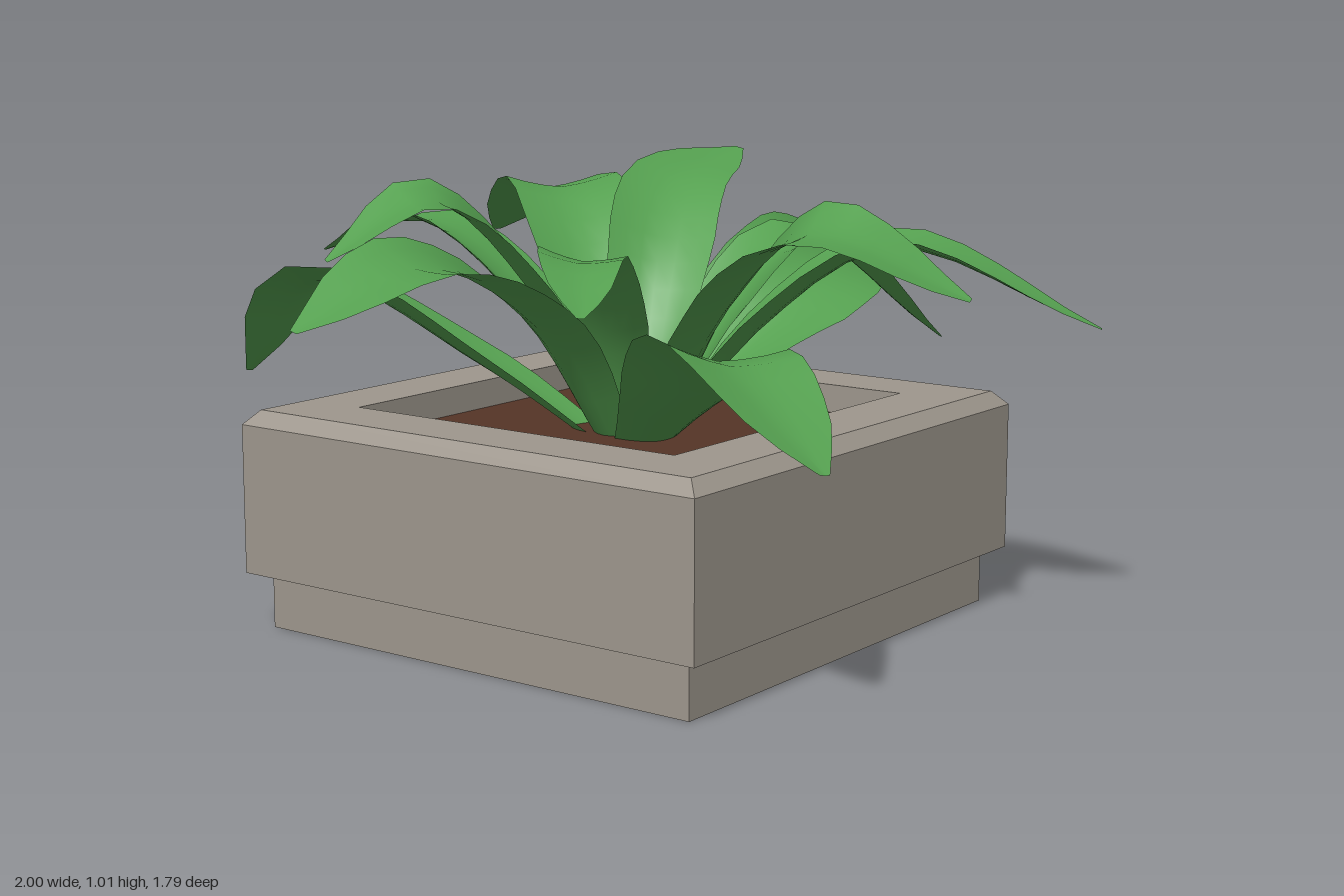
import * as THREE from 'three';

const material = (color) => new THREE.MeshStandardMaterial({ color, side: THREE.DoubleSide });
const CENTRE = new THREE.Vector3(-0.042, 0, -0.016);
const ROWS = 14, COLS = 6;
// half-width along a blade, from root to tip
const OUTLINE = [0.4, 0.56, 0.75, 0.91, 1, 1, 0.9, 0.63, 0.08];

// each leaf: crest of the arch, tip, full width, sideways roll, steepness of the rise
const LEAVES = [
  [[-0.68, 0.87, -0.07], [-1.0, 0.76, -0.12], 0.28, -0.2, 0.67],
  [[-0.49, 0.98, -0.22], [-0.68, 0.85, -0.34], 0.22, -0.25, 0.63],
  [[-0.42, 0.87, 0.14], [-0.68, 0.79, 0.34], 0.19, -0.1, 0.63],
  [[-0.41, 0.7, 0.49], [-0.59, 0.53, 0.85], 0.31, -0.15, 0.45],
  [[-0.07, 0.92, 0.48], [0.05, 0.78, 0.79], 0.26, 0.28, 0.63],
  [[0.24, 0.86, 0.48], [0.45, 0.68, 0.89], 0.28, 0, 0.6],
  [[0.36, 0.85, 0.17], [0.65, 0.59, 0.37], 0.26, 0, 0.6],
  [[0.4, 0.94, -0.22], [0.72, 1.0, -0.26], 0.25, 0.25, 0.66],
  [[0.59, 0.74, 0.04], [0.99, 0.75, -0.1], 0.35, 0.55, 0.52],
  [[0.33, 0.93, -0.52], [0.52, 0.77, -0.89], 0.29, 0, 0.63],
  [[-0.36, 0.76, -0.68], [-0.38, 0.52, -0.89], 0.26, 0.2, 0.5],
  [[-0.17, 0.89, -0.52], [-0.24, 0.8, -0.77], 0.28, 0.1, 0.63],
];

function halfWidth(t) {
  const f = t * (OUTLINE.length - 1);
  const i = Math.min(Math.floor(f), OUTLINE.length - 2);
  return THREE.MathUtils.lerp(OUTLINE[i], OUTLINE[i + 1], f - i);
}

// arched blade, cupped at the root and flatter towards the tip
function leafGeometry(crestXYZ, tipXYZ, width, roll, steepness) {
  const crest = new THREE.Vector3(...crestXYZ), tip = new THREE.Vector3(...tipXYZ);
  const outward = crest.clone().sub(CENTRE).setY(0).normalize();
  const root = CENTRE.clone().addScaledVector(outward, 0.06).setY(0.38);
  const rise = root.clone().lerp(crest, 0.42);
  rise.y = THREE.MathUtils.lerp(root.y, crest.y, steepness);
  const path = new THREE.CatmullRomCurve3([root, rise, crest, tip]);
  const up = new THREE.Vector3(0, 1, 0);
  const positions = [], index = [];

  for (let i = 0; i <= ROWS; i++) {
    const t = i / ROWS;
    const point = path.getPointAt(t), tangent = path.getTangentAt(t);
    const side = tangent.clone().cross(up).normalize();
    const normal = side.clone().cross(tangent).normalize();
    const angle = roll * Math.min(1, t * 2);
    side.applyAxisAngle(tangent, angle);
    normal.applyAxisAngle(tangent, angle);
    const half = width / 2 * halfWidth(t);
    for (let j = 0; j <= COLS; j++) {
      const s = j / COLS * 2 - 1;
      const cup = half * (0.35 * (1 - t) * s * s - 0.1 * (1 - Math.abs(s)));
      const p = point.clone().addScaledVector(side, s * half).addScaledVector(normal, cup);
      positions.push(p.x, p.y, p.z);
      if (i < ROWS && j < COLS) {
        const a = i * (COLS + 1) + j, b = a + COLS + 1;
        index.push(a, a + 1, b, a + 1, b + 1, b);
      }
    }
  }
  const geometry = new THREE.BufferGeometry();
  geometry.setAttribute('position', new THREE.Float32BufferAttribute(positions, 3));
  geometry.setIndex(index);
  geometry.computeVertexNormals();
  return geometry;
}

export function createModel() {
  const model = new THREE.Group();
  model.name = 'pottedPlant';

  // square planter shell, open underneath, as a four-sided lathe
  const profile = [
    [0.573, 0], [0.573, 0.127], [0.615, 0.127], [0.615, 0.463],
    [0.585, 0.495], [0.433, 0.495], [0.433, 0.42],
  ].map(([r, y]) => new THREE.Vector2(r * Math.SQRT2, y));
  const shell = new THREE.LatheGeometry(profile, 4).rotateY(Math.PI / 4).toNonIndexed();
  shell.computeVertexNormals();
  const planter = new THREE.Mesh(shell, material(0x9e978d));
  planter.name = 'planter';
  planter.position.copy(CENTRE);
  model.add(planter);

  // soil sheet inside the rim
  const soil = new THREE.Mesh(new THREE.PlaneGeometry(0.866, 0.866).rotateX(-Math.PI / 2), material(0x553527));
  soil.name = 'soil';
  soil.position.copy(CENTRE).setY(0.43);
  model.add(soil);

  // rosette of leaves
  const leaves = new THREE.Group();
  leaves.name = 'leaves';
  const green = material(0x55a050);
  LEAVES.forEach((spec, i) => {
    const leaf = new THREE.Mesh(leafGeometry(...spec), green);
    leaf.name = `leaf${i + 1}`;
    leaves.add(leaf);
  });
  model.add(leaves);
  return model;
}
